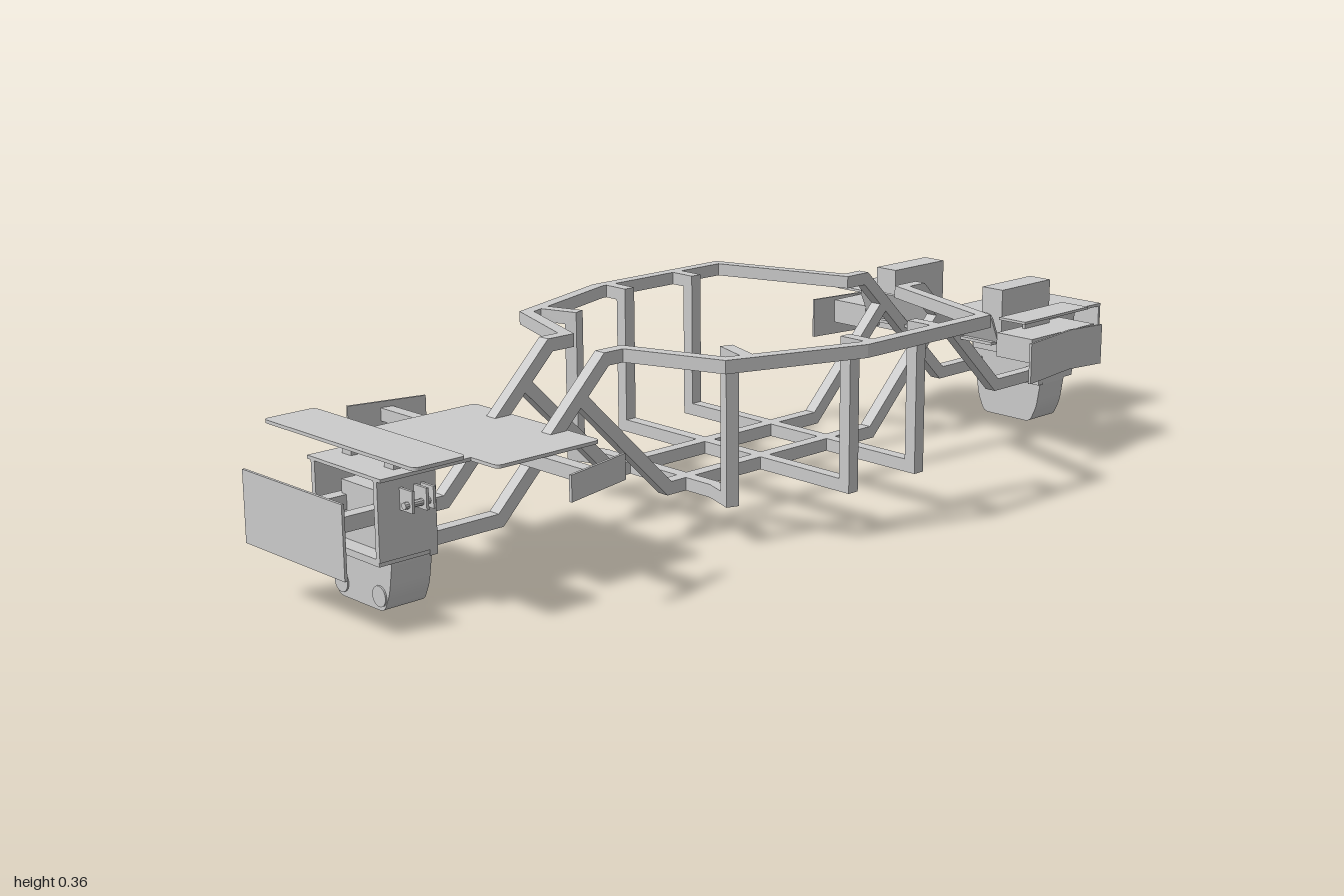
import * as THREE from 'three';

const mat = new THREE.MeshStandardMaterial({ color: 0xcccccc, side: THREE.DoubleSide, flatShading: true });
const V = (x, y, z) => new THREE.Vector3(x, y, z);
const W = 0.024; // square tube width

// Mitred square tube along a path lying in the plane with normal n
function squareTube(points, n) {
  const h = W / 2, last = points.length - 1, pos = [];
  const N = n.clone().normalize();
  const rings = points.map((p, i) => {
    const a = points[Math.max(i - 1, 0)], b = points[Math.min(i + 1, last)];
    const t0 = (i ? p.clone().sub(a) : b.clone().sub(p)).normalize();
    const t1 = (i < last ? b.clone().sub(p) : p.clone().sub(a)).normalize();
    const t = t0.clone().add(t1).normalize();
    const S = N.clone().cross(t).multiplyScalar(h / t.dot(t0));
    return [[1, 1], [-1, 1], [-1, -1], [1, -1]].map(([s, k]) =>
      p.clone().addScaledVector(S, s).addScaledVector(N, k * h));
  });
  const quad = (a, b, c, d) => [a, b, c, a, c, d].forEach(v => pos.push(v.x, v.y, v.z));
  for (let i = 0; i < last; i++) for (let j = 0; j < 4; j++) {
    const k = (j + 1) % 4;
    quad(rings[i][j], rings[i][k], rings[i + 1][k], rings[i + 1][j]);
  }
  quad(...rings[0].slice().reverse());
  quad(...rings[last]);
  const g = new THREE.BufferGeometry();
  g.setAttribute('position', new THREE.Float32BufferAttribute(pos, 3));
  g.computeVertexNormals();
  return g;
}

// Rounded polygon outline
function roundedShape(pts, r) {
  const s = new THREE.Shape(), n = pts.length;
  const P = pts.map(p => new THREE.Vector2(...p));
  P.forEach((p, i) => {
    const toward = q => p.clone().add(q.clone().sub(p).setLength(r));
    const a = toward(P[(i + n - 1) % n]), b = toward(P[(i + 1) % n]);
    if (i) s.lineTo(a.x, a.y); else s.moveTo(a.x, a.y);
    s.quadraticCurveTo(p.x, p.y, b.x, b.y);
  });
  s.closePath();
  return s;
}
const rect = (w, h) => [[-w, -h], [w, -h], [w, h], [-w, h]];

export function createModel() {
  const root = new THREE.Group();
  const add = (name, geo, parent = root) => {
    const m = new THREE.Mesh(geo, mat);
    m.name = name;
    parent.add(m);
    return m;
  };
  // Box given by its extents
  const box = (name, x0, x1, y0, y1, z0, z1) => {
    const m = add(name, new THREE.BoxGeometry(Math.abs(x1 - x0), Math.abs(y1 - y0), Math.abs(z1 - z0)));
    m.position.set((x0 + x1) / 2, (y0 + y1) / 2, (z0 + z1) / 2);
    return m;
  };
  // Thin upright plate between two plan points
  const fin = (name, xa, za, xb, zb, y0, y1) => {
    const m = add(name, new THREE.BoxGeometry(Math.hypot(xb - xa, zb - za), y1 - y0, 0.005));
    m.position.set((xa + xb) / 2, (y0 + y1) / 2, (za + zb) / 2);
    m.rotation.y = -Math.atan2(zb - za, xb - xa);
  };
  // Flat rounded plate
  const plate = (name, x0, x1, z, y, r) => {
    const g = new THREE.ExtrudeGeometry(roundedShape(rect((x1 - x0) / 2, z), r), { depth: 0.006, bevelEnabled: false, curveSegments: 5 });
    g.rotateX(-Math.PI / 2);
    add(name, g).position.set((x0 + x1) / 2, y, 0);
  };
  const up = V(0, 1, 0), ahead = V(0, 0, 1), along = V(1, 0, 0);

  // Frame rails and side hoops
  for (const s of [1, -1]) {
    const z = s * 0.074;
    for (const e of [1, -1]) add('slopedRail', squareTube(
      [V(e * 0.8, 0.11, z), V(e * 0.65, 0.11, z), V(e * 0.412, 0.345, z), V(e * 0.38, 0.345, z)], ahead));
    add('lowerRail', squareTube(
      [[-0.475, 0.29], [-0.268, 0.084], [0.268, 0.084], [0.475, 0.29]].map(([x, y]) => V(x, y, z)), ahead));
    add('upperSideRail', squareTube(
      [[-0.4, 0.074], [-0.366, 0.074], [-0.3, 0.262], [-0.05, 0.349], [0.275, 0.349], [0.365, 0.074], [0.4, 0.074]]
        .map(([x, d]) => V(x, 0.345, s * d)), up));
    add('frontCornerPost', squareTube(
      [V(-0.26, 0.345, s * 0.28), V(-0.235, 0.345, s * 0.205), V(-0.235, 0.084, s * 0.205), V(-0.216, 0.084, s * 0.15)],
      V(0.945, 0, s * 0.327)));
  }
  for (const x of [-0.026, 0.152]) add('crossHoop', squareTube(
    [[0.345, 0.349], [0.345, 0.295], [0.084, 0.295], [0.084, -0.295], [0.345, -0.295], [0.345, -0.349]]
      .map(([y, z]) => V(x, y, z)), along));
  box('crossMember', -0.228, -0.204, 0.072, 0.096, -0.152, 0.152);

  // Matching end housings with lower bumpers
  const bumper = roundedShape([[-0.062, 0], [0.062, 0], [0.078, 0.035], [0.088, 0.095], [-0.088, 0.095], [-0.078, 0.035]], 0.012);
  for (const e of [1, -1]) {
    const g = new THREE.ExtrudeGeometry(bumper, { depth: 0.08, bevelEnabled: false, curveSegments: 4 });
    g.rotateY(Math.PI / 2);
    add('lowerBumper', g).position.set(e * 0.835 - 0.04, 0, 0);
    box('bulkhead', e * 0.785, e * 0.8, 0.085, 0.228, -0.09, 0.09);
    box('skidPlate', e * 0.785, e * 0.9, 0.088, 0.1, -0.088, 0.088);
    box('gearHousing', e * 0.8, e * 0.87, 0.1, 0.2, -0.05, 0.05);
    for (const s of [1, -1]) {
      box('housingSide', e * 0.785, e * 0.9, 0.095, 0.23, s * 0.08, s * 0.09);
      box('bumperArm', e * 0.8, e * 0.998, 0.15, 0.176, s * 0.037, s * 0.062);
      const boss = add('bumperBoss', new THREE.CylinderGeometry(0.018, 0.018, 0.004, 20));
      boss.rotation.z = Math.PI / 2;
      boss.position.set(e * 0.876, 0.025, s * 0.052);
      // Small hinge tabs beside the housing
      for (const x of [0.81, 0.824, 0.852]) box('hingeTab', e * x, e * (x + 0.005), 0.175, 0.212, s * 0.088, s * 0.123);
      const pin = add('hingePin', new THREE.CylinderGeometry(0.006, 0.006, 0.06, 10));
      pin.rotation.z = Math.PI / 2;
      pin.position.set(e * 0.835, 0.187, s * 0.111);
    }
  }

  // -x end: deck, raised pad, end plate and side fins
  plate('deck', -0.72, -0.5, 0.168, 0.23, 0.012);
  box('deckNeck', -0.9, -0.715, 0.23, 0.236, -0.1, 0.1);
  plate('raisedPad', -0.912, -0.81, 0.206, 0.273, 0.012);
  box('endPlate', -1, -0.995, 0.1, 0.225, -0.137, 0.137);
  for (const s of [1, -1]) {
    box('padPost', -0.852, -0.83, 0.23, 0.275, s * 0.045, s * 0.07);
    box('finArm', -0.621, -0.597, 0.205, 0.229, s * 0.06, s * 0.282);
    fin('sideFin', -0.68, s * 0.3, -0.535, s * 0.266, 0.195, 0.24);
  }

  // +x end: deck, bent nose plate and slanted shield
  box('rearDeck', 0.53, 0.72, 0.226, 0.232, -0.165, 0.165);
  box('noseTop', 0.71, 0.976, 0.228, 0.234, -0.1, 0.1);
  box('noseFace', 0.971, 0.977, 0.142, 0.234, -0.1, 0.1);
  const shield = new THREE.ExtrudeGeometry(
    roundedShape([[-0.173, 0], [0.173, 0], [0.173, 0.07], [-0.173, 0.07]], 0.014), { depth: 0.005, bevelEnabled: false, curveSegments: 5 });
  shield.rotateY(Math.PI / 2);
  const sh = add('slantedShield', shield);
  sh.position.set(0.543, 0.228, 0);
  sh.rotation.z = 0.42;

  // Side units on the +x end
  for (const s of [1, -1]) {
    box('upperBlock', 0.56, 0.712, 0.238, 0.333, s * 0.115, s * 0.166);
    box('sideBox', 0.535, 0.735, 0.205, 0.253, s * 0.175, s * 0.262);
    box('sideBoxCover', 0.53, 0.732, 0.281, 0.286, s * 0.183, s * 0.248);
    box('coverTab', 0.57, 0.7, 0.271, 0.276, s * 0.16, s * 0.19);
    box('coverPost', 0.6, 0.68, 0.25, 0.283, s * 0.187, s * 0.193);
    box('boxArm', 0.58, 0.604, 0.2, 0.224, s * 0.08, s * 0.272);
    fin('frontSideFin', 0.498, s * 0.288, 0.65, s * 0.266, 0.175, 0.255);
    fin('backSideFin', 0.65, s * 0.266, 0.735, s * 0.28, 0.175, 0.255);
    for (const z of [0.2, 0.24]) {
      const stud = add('sideBoxStud', new THREE.CylinderGeometry(0.005, 0.005, 0.004, 12));
      stud.rotation.z = Math.PI / 2;
      stud.position.set(0.736, 0.23, s * z);
    }
  }
  return root;
}
